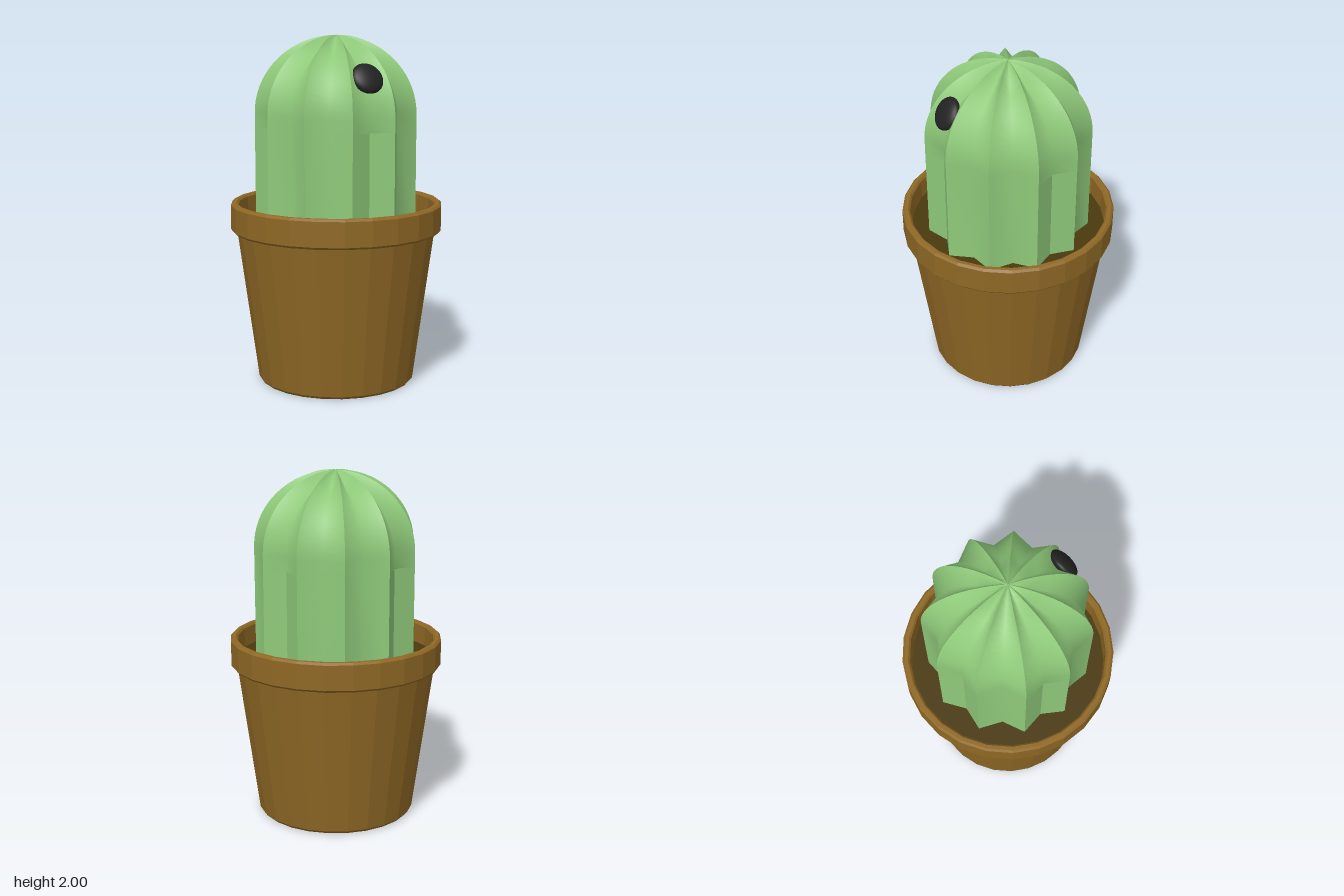
import * as THREE from 'three';

const RIBS = 11;
const POT_SIDES = 25;

const green = new THREE.MeshStandardMaterial({ color: 0x8fca7a, side: THREE.DoubleSide });
const clay = new THREE.MeshStandardMaterial({ color: 0x8f6825, flatShading: true, side: THREE.DoubleSide });
const earth = new THREE.MeshStandardMaterial({ color: 0x4a390f });
const black = new THREE.MeshStandardMaterial({ color: 0x222222 });

function addMesh(parent, name, geometry, material) {
  const mesh = new THREE.Mesh(geometry, material);
  mesh.name = name;
  parent.add(mesh);
  return mesh;
}

// Smooth surface through columns of [radius, y] points, each at its own angle
function strip(columns) {
  const rows = columns[0].profile.length;
  const positions = [], index = [];
  for (const { angle, profile } of columns)
    for (const [r, y] of profile) positions.push(r * Math.cos(angle), y, r * Math.sin(angle));
  for (let c = 0; c < columns.length - 1; c++)
    for (let i = 0; i < rows - 1; i++) {
      const a = c * rows + i, b = a + rows;
      index.push(a, a + 1, b + 1, a, b + 1, b);
    }
  const geometry = new THREE.BufferGeometry();
  geometry.setAttribute('position', new THREE.Float32BufferAttribute(positions, 3));
  geometry.setIndex(index);
  geometry.computeVertexNormals();
  return geometry;
}

// Rib outline: straight shaft, then an elliptical dome; depth pulls it in to a valley
function ribProfile(depth) {
  const points = [[0.465 - depth, 0.9], [0.465 - depth, 1.48]];
  const steps = 18;
  for (let i = 0; i <= steps; i++) {
    const t = (i / steps) * Math.PI / 2;
    const fade = Math.min(1, (1 - i / steps) * 4);
    const r = 0.465 * Math.cos(t) - depth * Math.cos(t) * fade;
    points.push([Math.max(r, 0), 1.56 + 0.44 * Math.sin(t) - depth * Math.sin(t) * fade]);
  }
  return points;
}

function createCactus() {
  const cactus = new THREE.Group();
  cactus.name = 'cactus';
  const ridge = ribProfile(0), valley = ribProfile(0.07);
  const creased = [1, 4, 6, 9]; // grooves with a sharp fold along the shaft
  for (let k = 0; k < RIBS; k++) {
    const columns = [ridge, valley, ridge].map((profile, j) => (
      { angle: (k + j / 2) * 2 * Math.PI / RIBS, profile }));
    const part = (cols, from, to) => strip(cols.map(
      c => ({ angle: c.angle, profile: c.profile.slice(from, to) })));
    if (creased.includes(k)) {
      addMesh(cactus, 'grooveSide', part(columns.slice(0, 2), 0, 2), green);
      addMesh(cactus, 'grooveSide', part(columns.slice(1), 0, 2), green);
      addMesh(cactus, 'grooveDome', part(columns, 1), green);
    } else {
      addMesh(cactus, 'groove', strip(columns), green);
    }
  }
  return cactus;
}

function createPot() {
  const pot = new THREE.Group();
  pot.name = 'pot';
  const lathe = points => new THREE.LatheGeometry(
    points.map(([r, y]) => new THREE.Vector2(r, y)), POT_SIDES, Math.PI / 2);
  // Tapered wall with a closed, bevelled foot
  addMesh(pot, 'potWall', lathe([
    [0, 0], [0.445, 0], [0.457, 0.015], [0.575, 0.89]]), clay);
  // Thick rim that turns over and runs down inside to the soil
  addMesh(pot, 'potRim', lathe([
    [0.56, 0.885], [0.6, 0.885], [0.61, 0.897], [0.61, 1.038], [0.598, 1.05],
    [0.577, 1.05], [0.566, 1.038], [0.558, 0.9]]), clay);
  const soil = addMesh(pot, 'soil', new THREE.CircleGeometry(0.562, POT_SIDES), earth);
  soil.rotation.x = -Math.PI / 2;
  soil.position.y = 0.93;
  return pot;
}

export function createModel() {
  const model = new THREE.Group();
  model.name = 'pottedCactus';
  model.add(createPot(), createCactus());

  // Flattened button resting across one groove of the dome
  const button = addMesh(model, 'button', new THREE.SphereGeometry(0.092, 32, 20), black);
  button.position.set(0.24, 1.775, 0.275);
  button.scale.z = 0.42;
  button.lookAt(0.24 + 0.53, 1.775 + 0.55, 0.275 + 0.62);
  return model;
}
